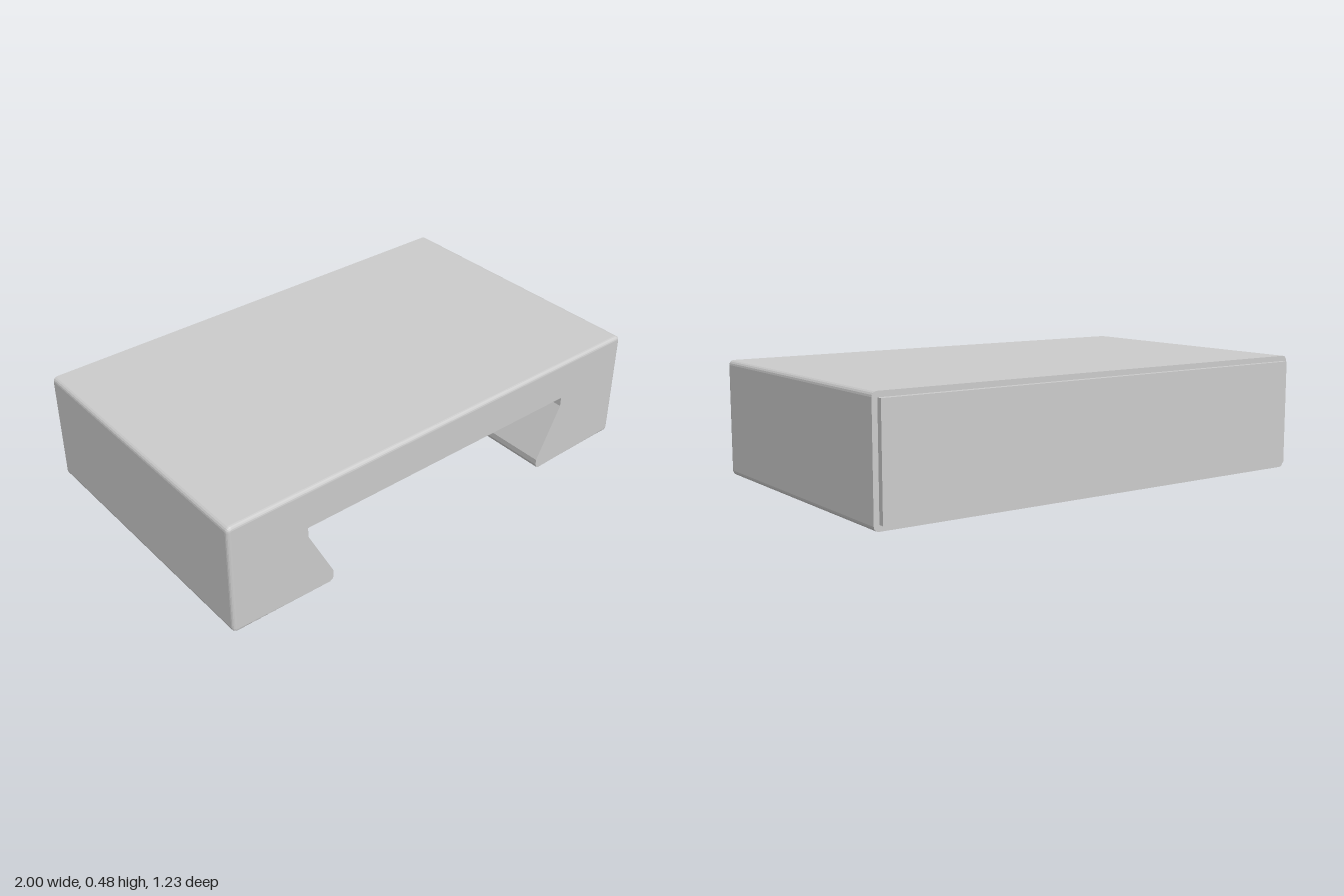
import * as THREE from 'three';

const W = 1, H = 0.48, R = 0.02;               // half width, height, edge radius
const BACK = -0.593, STOP = -0.44, TAPER = -0.2, FRONT = 0.617;

// Right-hand slot profiles, from the ceiling down to the lips
const slotWide = [[0.66, 0.31], [0.66, 0.27], [0.545, 0.045], [0.545, 0.02], [0.55, 0.007], [0.562, 0]];
const slotNarrow = [[0.555, 0.31], [0.55, 0.301], [0.43, 0.08], [0.43, 0.02], [0.432, 0.006], [0.436, 0]];

// Rounded outer corners on the +x side, bottom then top
function outerHalf(inset = 0) {
  const pts = [];
  for (const [cy, start] of [[R, -Math.PI / 2], [H - R, 0]]) {
    for (let i = 0; i <= 4; i++) {
      const a = start + (i / 4) * Math.PI / 2;
      pts.push([W - R + (R - inset) * Math.cos(a), cy + (R - inset) * Math.sin(a)]);
    }
  }
  return pts;
}

// Mirror a half outline into a closed counter-clockwise loop
const mirrored = half => [...half, ...half.slice().reverse().map(([x, y]) => [-x, y])]
  .map(([x, y]) => new THREE.Vector2(x, y));

// Skin a series of matching sections along z, closing the front end
function loft(sections) {
  const pos = [], index = [], n = sections[0].ring.length;
  for (const { ring, z } of sections) for (const p of ring) pos.push(p.x, p.y, z);
  for (let s = 0; s < sections.length - 1; s++) {
    for (let i = 0; i < n; i++) {
      const j = (i + 1) % n, a = s * n, b = a + n;
      index.push(a + i, a + j, b + j, a + i, b + j, b + i);
    }
  }
  const last = (sections.length - 1) * n;
  for (const t of THREE.ShapeUtils.triangulateShape(sections.at(-1).ring, [])) {
    index.push(...t.map(i => last + i));
  }
  const indexed = new THREE.BufferGeometry();
  indexed.setAttribute('position', new THREE.Float32BufferAttribute(pos, 3));
  indexed.setIndex(index);
  const geo = indexed.toNonIndexed();
  geo.computeVertexNormals();
  return geo;
}

export function createModel() {
  const group = new THREE.Group();
  group.name = 'dovetailBlock';
  const material = new THREE.MeshStandardMaterial({ color: 0xcccccc });
  const add = (name, geometry) => {
    const mesh = new THREE.Mesh(geometry, material);
    mesh.name = name;
    group.add(mesh);
    return mesh;
  };

  // Slotted body: tapered inner end, straight run, rounded front edge
  const section = (slot, z, inset) => ({ ring: mirrored([...slot, ...outerHalf(inset)]), z });
  const r = 0.015;
  const sections = [section(slotNarrow, STOP), section(slotWide, TAPER)];
  for (let i = 0; i <= 4; i++) {
    const a = (i / 4) * Math.PI / 2;
    sections.push(section(slotWide, FRONT - r + r * Math.sin(a), r * (1 - Math.cos(a))));
  }
  add('slottedBody', loft(sections));

  // Solid rear of the block, whose front face stops the slot
  const rear = new THREE.ExtrudeGeometry(new THREE.Shape(mirrored(outerHalf())),
    { depth: STOP - BACK, bevelEnabled: false });
  add('rearWall', rear).position.z = BACK;

  // Slightly smaller raised panel on the back
  const panelDepth = 0.024;
  add('backPanel', new THREE.BoxGeometry(1.956, 0.434, panelDepth))
    .position.set(0, 0.241, BACK - panelDepth / 2);

  return group;
}
